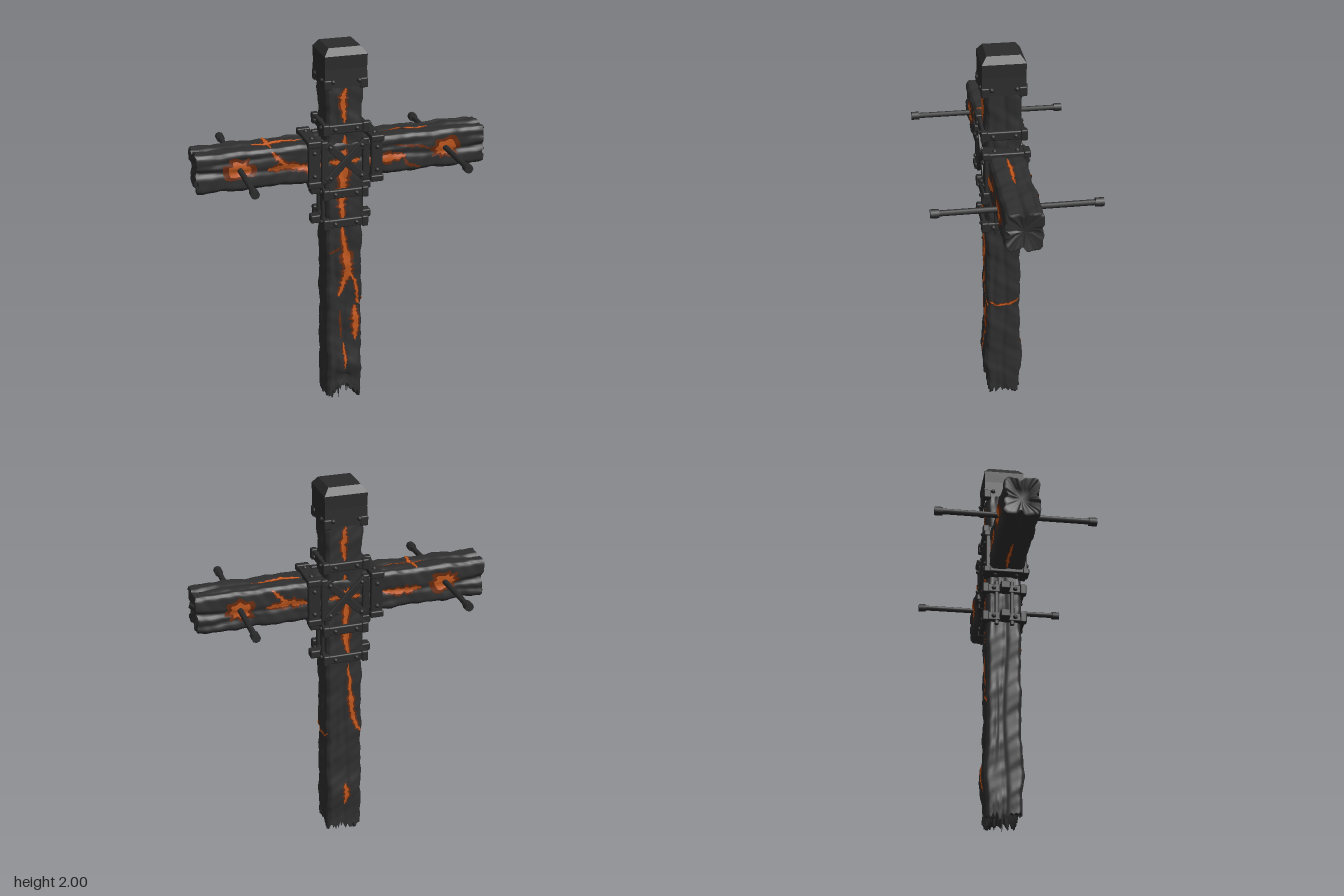
import * as THREE from 'three';
import { RoundedBoxGeometry } from 'three/addons/geometries/RoundedBoxGeometry.js';

const mat = (name, color, side = THREE.FrontSide) => {
  const m = new THREE.MeshStandardMaterial({ color, side });
  m.name = name;
  return m;
};
const N = 24; // points per timber face

// Repeatable value in 0..1
const hash = (i) => { const v = Math.sin(i * 127.1 + 11.7) * 43758.5453; return v - Math.floor(v); };

// Surface of a squared, weathered log standing along y; face 0 = +z, 1 = +x, 2 = -z, 3 = -x, s = -1..1
function timber({ hx, hz, bulge, seed, ends }) {
  return (face, s, t, lift = 0) => {
    const a = face * Math.PI / 2, sn = Math.round(Math.sin(a)), cs = Math.round(Math.cos(a));
    const depth = face % 2 ? hx : hz, half = face % 2 ? hz : hx;
    const round = 1 - 0.1 * Math.max(0, (Math.abs(s) - 0.72) / 0.28) ** 2;
    const wander = 0.1 * Math.sin(t * 7 + face * 2 + seed);
    const open = 0.007 + 0.014 * ends(t);
    const groove = open * Math.exp(-(((s - wander) / 0.14) ** 2))
      + 0.004 * Math.exp(-(((s + 0.5 + wander) / 0.12) ** 2)) * (1 + Math.sin(t * 9 + face));
    const d = depth * round - groove, e = half * s * round;
    let x = sn * d + cs * e, z = cs * d - sn * e;
    const lump = 1 + 0.025 * Math.sin(t * 23 + x * 31 + seed) + 0.02 * Math.sin(t * 41 - z * 45 + seed * 2)
      + 0.012 * Math.sin(t * 87 + (x - z) * 60);
    x *= lump; z *= lump * (1 + bulge(t));
    return [x + sn * lift, t, z + cs * lift];
  };
}

function build(pos, idx) {
  const g = new THREE.BufferGeometry();
  g.setAttribute('position', new THREE.Float32BufferAttribute(pos, 3));
  g.setIndex(idx);
  g.computeVertexNormals();
  return g;
}

// Skin of the log, with separate end faces
function logGeometry(surf, t0, t1, rows, jag0, jag1, sink) {
  const R = 4 * N, pos = [], idx = [], at = (i) => [Math.floor(i / N) % 4, -1 + 2 * (i % N) / N];
  for (let j = 0; j <= rows; j++) for (let i = 0; i < R; i++) {
    const [f, s] = at(i), t = t0 + (t1 - t0) * j / rows;
    const near0 = Math.max(0, 1 - (t - t0) / 0.16), near1 = Math.max(0, 1 - (t1 - t) / 0.06);
    const p = surf(f, s, t);
    p[1] += near0 * jag0(i, s) - near1 * jag1(i, s);
    pos.push(...p);
  }
  for (let j = 0; j < rows; j++) for (let i = 0; i < R; i++) {
    const a = j * R + i, b = j * R + (i + 1) % R;
    idx.push(a, b, b + R, a, b + R, a + R);
  }
  for (const top of [0, 1]) {
    const from = top * rows * R, base = pos.length / 3, dir = top ? -1 : 1;
    for (const k of [1, 0.88, 0.45]) for (let i = 0; i < R; i++) {
      const o = (from + i) * 3, s = at(i)[1];
      const dip = k === 1 ? 0 : (k < 0.5 ? sink : -0.006 + sink * 0.6 * Math.exp(-((s / 0.2) ** 2)));
      pos.push(pos[o] * k, pos[o + 1] + dir * dip, pos[o + 2] * k);
    }
    const c = pos.length / 3;
    pos.push(0, (top ? t1 : t0) + dir * (sink + (top ? 0 : 0.02)), 0);
    for (let i = 0; i < R; i++) {
      const n = (i + 1) % R, tri = (a, b, d) => (top ? idx.push(a, b, d) : idx.push(a, d, b));
      for (const r of [0, R]) {
        tri(base + r + i, base + r + n, base + r + R + n);
        tri(base + r + i, base + r + R + n, base + r + R + i);
      }
      tri(base + 2 * R + i, base + 2 * R + n, c);
    }
  }
  return build(pos, idx);
}

// Thin tapered strip following the timber; path points are [s, t]
function crackGeometry(surf, face, path, width, lift) {
  const pos = [], idx = [], pts = [];
  path.slice(1).forEach((b, k) => {
    const a = path[k];
    for (let m = 0; m < 10; m++) pts.push([a[0] + (b[0] - a[0]) * m / 10, a[1] + (b[1] - a[1]) * m / 10]);
  });
  pts.push(path[path.length - 1]);
  pts.forEach((p, i) => {
    const q = pts[Math.min(i + 1, pts.length - 1)], o = pts[Math.max(i - 1, 0)];
    let ds = (q[0] - o[0]) * 0.09, dt = q[1] - o[1];
    const l = Math.hypot(ds, dt) || 1; ds /= l; dt /= l;
    const f = i / (pts.length - 1), w = width * (0.12 + Math.sin(Math.PI * f) ** 0.6) * (0.55 + 0.8 * hash(i + path.length * 7));
    const jit = (hash(i * 3 + face) - 0.5) * 0.007;
    for (let c = -2; c <= 2; c++) {
      const off = w * c / 2 + jit;
      const s = Math.max(-1, Math.min(1, p[0] + off * dt / 0.09));
      pos.push(...surf(face, s, p[1] - off * ds, lift));
    }
    if (i) for (let c = 0; c < 4; c++) {
      const b = i * 5 + c, a = b - 5;
      idx.push(a, a + 1, b + 1, a, b + 1, b);
    }
  });
  return build(pos, idx);
}

// Ragged burnt patch following the timber
function patchGeometry(surf, face, s0, t0, rs, rt, lift) {
  const pos = [...surf(face, s0, t0, lift)], idx = [], n = 22;
  for (let r = 1; r <= 4; r++) for (let i = 0; i < n; i++) {
    const a = i / n * Math.PI * 2, k = r / 4 * (0.68 + 0.55 * hash(i + face * 5 + Math.round(t0 * 9)));
    pos.push(...surf(face, s0 + Math.cos(a) * rs * k, t0 + Math.sin(a) * rt * k, lift));
  }
  for (let i = 0; i < n; i++) {
    const m = (i + 1) % n;
    idx.push(0, 1 + i, 1 + m);
    for (let r = 0; r < 3; r++) {
      const a = 1 + r * n + i, b = 1 + r * n + m;
      idx.push(a, a + n, b + n, a, b + n, b);
    }
  }
  return build(pos, idx);
}

export function createModel() {
  const root = new THREE.Group();
  const wood = mat('charred wood', 0x2f2f2f), iron = mat('dark iron', 0x2b2b2c);
  const scorch = mat('scorched wood', 0x6a2c10, THREE.DoubleSide), ember = mat('glowing ember', 0xc2581e, THREE.DoubleSide);
  const add = (parent, name, geo, m, p = [0, 0, 0], r = [0, 0, 0]) => {
    const mesh = new THREE.Mesh(geo, m);
    mesh.name = name; mesh.position.set(...p); mesh.rotation.set(...r);
    parent.add(mesh);
    return mesh;
  };
  const box = (parent, name, size, p, r, rad = 0.007) => add(parent, name, new RoundedBoxGeometry(...size, 2, rad), iron, p, r);
  const rivetGeo = new THREE.SphereGeometry(0.012, 8, 6);
  const rivet = (parent, ...p) => add(parent, 'rivet', rivetGeo, iron, p);
  const crack = (parent, surf, face, path, w) => {
    add(parent, 'scorchedCrack', crackGeometry(surf, face, path, w * 1.9, 0.003), scorch);
    if (w > 0.004) add(parent, 'emberCrack', crackGeometry(surf, face, path, w, 0.005), ember);
  };

  // Upright post with a broken foot
  const post = new THREE.Group(); post.name = 'post'; root.add(post);
  const postSurf = timber({ hx: 0.094, hz: 0.088, seed: 1, ends: () => 0,
    bulge: (t) => 0.2 * Math.exp(-(((t - 0.28) / 0.07) ** 2)) });
  add(post, 'postTimber', logGeometry(postSurf, 0.06, 1.85, 110,
    (i, s) => (hash(i) - 0.45) * 0.05 + (i < N ? 0.06 * (1 - s * s) : 0), () => 0, 0.05), wood);
  [[-0.008, 0, 0.018, 0.17], [0.03, 0.02, 0.015, 0.13], [-0.035, -0.02, 0.014, 0.12], [0.055, -0.03, 0.014, 0.11], [0.01, -0.05, 0.014, 0.12]]
    .forEach(([x, z, r, h], i) => {
      const tip = i ? 0.02 + 0.03 * hash(i) : 0;
      add(post, 'splinter', new THREE.ConeGeometry(r, h, 5), wood, [x, tip + h / 2, z], [Math.PI, 0, 0]);
    });
  [
    [0, [[0.05, 1.8], [-0.15, 1.74], [0, 1.62]], 0.011],
    [0, [[0, 1.56], [-0.1, 1.42], [-0.1, 1.3], [-0.2, 1.2], [-0.1, 1.1]], 0.016],
    [0, [[-0.2, 1.08], [0, 0.96], [0.2, 0.83], [-0.05, 0.76], [-0.35, 0.68]], 0.015],
    [0, [[0.15, 0.84], [0.55, 0.76], [0.75, 0.64], [1, 0.61]], 0.006],
    [0, [[0.55, 0.62], [0.6, 0.52], [0.6, 0.41]], 0.013],
    [0, [[-0.1, 0.4], [0, 0.32], [0, 0.24]], 0.005],
    [0, [[-0.3, 0.6], [-0.25, 0.5], [-0.2, 0.42]], 0.003],
    [0, [[-1, 0.93], [-0.5, 0.94], [-0.1, 0.97]], 0.003],
    [0, [[-0.9, 1.43], [0, 1.42], [0.9, 1.43]], 0.012],
    [1, [[-1, 0.66], [-0.5, 0.62], [0.4, 0.62], [1, 0.66]], 0.005],
    [2, [[0.05, 1.8], [-0.1, 1.7], [0, 1.62]], 0.009],
    [2, [[0, 1.55], [0.1, 1.4], [0, 1.25], [0.2, 1.1]], 0.013],
    [2, [[0.2, 1.06], [0.3, 0.9], [0.4, 0.78], [0.7, 0.68], [1, 0.64]], 0.009],
    [2, [[0, 0.34], [0.1, 0.28], [0, 0.2]], 0.009],
    [2, [[-0.9, 1.43], [0, 1.44], [0.9, 1.43]], 0.011],
  ].forEach(([f, p, w]) => crack(post, postSurf, f, p, w));

  // Crossbeam, modelled along y and laid along x
  const beam = new THREE.Group(); beam.name = 'crossbeam';
  beam.position.y = 1.43; beam.rotation.z = -Math.PI / 2; root.add(beam);
  const beamSurf = timber({ hx: 0.1, hz: 0.088, seed: 4, bulge: () => 0,
    ends: (t) => Math.max(0, (Math.abs(t) - 0.55) / 0.19) });
  const chip = (i) => 0.012 * hash(Math.floor(i / 4));
  add(beam, 'beamTimber', logGeometry(beamSurf, -0.74, 0.74, 96, chip, chip, 0.014), wood);
  [
    [0, [[-0.9, -0.37], [-0.4, -0.33], [0, -0.29]], 0.007],
    [0, [[0.05, -0.39], [-0.05, -0.3], [0.15, -0.19], [0.1, -0.1]], 0.013],
    [0, [[0.1, 0.1], [0.15, 0.2], [0.1, 0.32]], 0.015],
    [0, [[0.1, 0.3], [0.6, 0.33], [0.75, 0.4]], 0.004],
    [0, [[-0.5, 0.25], [-0.35, 0.38], [-0.1, 0.46]], 0.003],
    [2, [[0, -0.4], [-0.1, -0.3], [0, -0.19]], 0.011],
    [2, [[0, 0.19], [0.1, 0.28], [0, 0.4]], 0.012],
    [2, [[0.1, 0.28], [0.5, 0.33], [1, 0.37]], 0.006],
    [3, [[0, -0.45], [0, -0.36], [0, -0.2]], 0.006],
    [3, [[-0.9, -0.38], [0, -0.37], [0.9, -0.37]], 0.007],
    [3, [[0, 0.2], [0, 0.33], [0, 0.46]], 0.006],
    [1, [[0, -0.45], [0.1, -0.3], [0, -0.2]], 0.006],
  ].forEach(([f, p, w]) => crack(beam, beamSurf, f, p, w));

  // Spikes through the arms, each in a burnt hollow
  for (const x of [-0.525, 0.525]) {
    for (const f of [0, 2]) {
      const s = f ? 0.1 : -0.1;
      add(beam, 'scorchedHollow', patchGeometry(beamSurf, f, s, x, 0.58, 0.078, 0.004), scorch);
      add(beam, 'emberHollow', patchGeometry(beamSurf, f, s, x, 0.4, 0.052, 0.007), ember);
    }
    add(root, 'spike', new THREE.CylinderGeometry(0.014, 0.014, 0.76, 10), iron, [x, 1.44, 0], [Math.PI / 2, 0, 0]);
    for (const z of [-0.38, 0.38])
      add(root, 'spikeHead', new THREE.CylinderGeometry(0.022, 0.022, 0.04, 8), iron, [x, 1.44, z], [Math.PI / 2, 0, 0]);
  }

  // Iron cap with a chamfered top and ragged lower rim
  const q = Math.SQRT2;
  const capGeo = new THREE.LatheGeometry([[0.094, 1.82], [0.107, 1.81], [0.104, 1.9], [0.106, 1.965], [0.08, 2], [0, 2]]
    .map(([r, y]) => new THREE.Vector2(r * q, y)), 4, Math.PI / 4).toNonIndexed();
  capGeo.computeVertexNormals();
  add(root, 'cap', capGeo, iron);
  for (const sx of [-1, 1]) for (const sz of [-1, 1]) {
    box(root, 'capCorner', [0.04, 0.05, 0.04], [sx * 0.09, 1.825, sz * 0.09]);
    rivet(root, sx * 0.065, 1.84, sz * 0.106);
    rivet(root, sx * 0.106, 1.84, sz * 0.06);
  }

  // Bands around the post
  for (const [y, lug] of [[1.6, 0], [1.26, 1], [1.1, 1]]) {
    box(root, 'postBand', [0.222, 0.046, 0.214], [0, y, 0]);
    for (const sx of [-1, 1]) {
      if (lug) box(root, 'bandLug', [0.055, 0.042, 0.05], [sx * 0.13, y, 0]);
      for (const sz of [-1, 1]) {
        box(root, 'bandCorner', [0.034, 0.056, 0.034], [sx * 0.1, y, sz * 0.097]);
        rivet(root, sx * 0.055, y, sz * 0.107);
        rivet(root, sx * 0.111, y, sz * 0.055);
      }
    }
  }

  for (const sx of [-1, 1]) {
    // Side straps between the lower bands
    for (const z of [-0.04, 0.04]) box(root, 'sideStrap', [0.018, 0.25, 0.022], [sx * 0.1, 1.18, z]);
    // Bands around the beam
    box(root, 'beamBand', [0.06, 0.235, 0.214], [sx * 0.16, 1.43, 0]);
    for (const sy of [-1, 1]) for (const sz of [-1, 1]) {
      box(root, 'beamBandCorner', [0.068, 0.034, 0.034], [sx * 0.16, 1.43 + sy * 0.105, sz * 0.1]);
      rivet(root, sx * 0.16, 1.43 + sy * 0.06, sz * 0.107);
      rivet(root, sx * 0.16, 1.43 + sy * 0.118, sz * 0.055);
    }
    // Diagonal straps over the joint, front and back
    for (const sz of [-1, 1]) {
      box(root, 'crossStrap', [0.27, 0.036, 0.016], [0, 1.43, sz * (sx > 0 ? 0.103 : 0.097)], [0, 0, sx * sz * Math.PI / 4], 0.004);
      for (const sy of [-1, 1]) rivet(root, sx * 0.08, 1.43 + sy * 0.08, sz * 0.107);
      box(root, 'jointCorner', [0.036, 0.22, 0.03], [sx * 0.105, 1.43, sz * 0.088]);
    }
  }
  return root;
}
